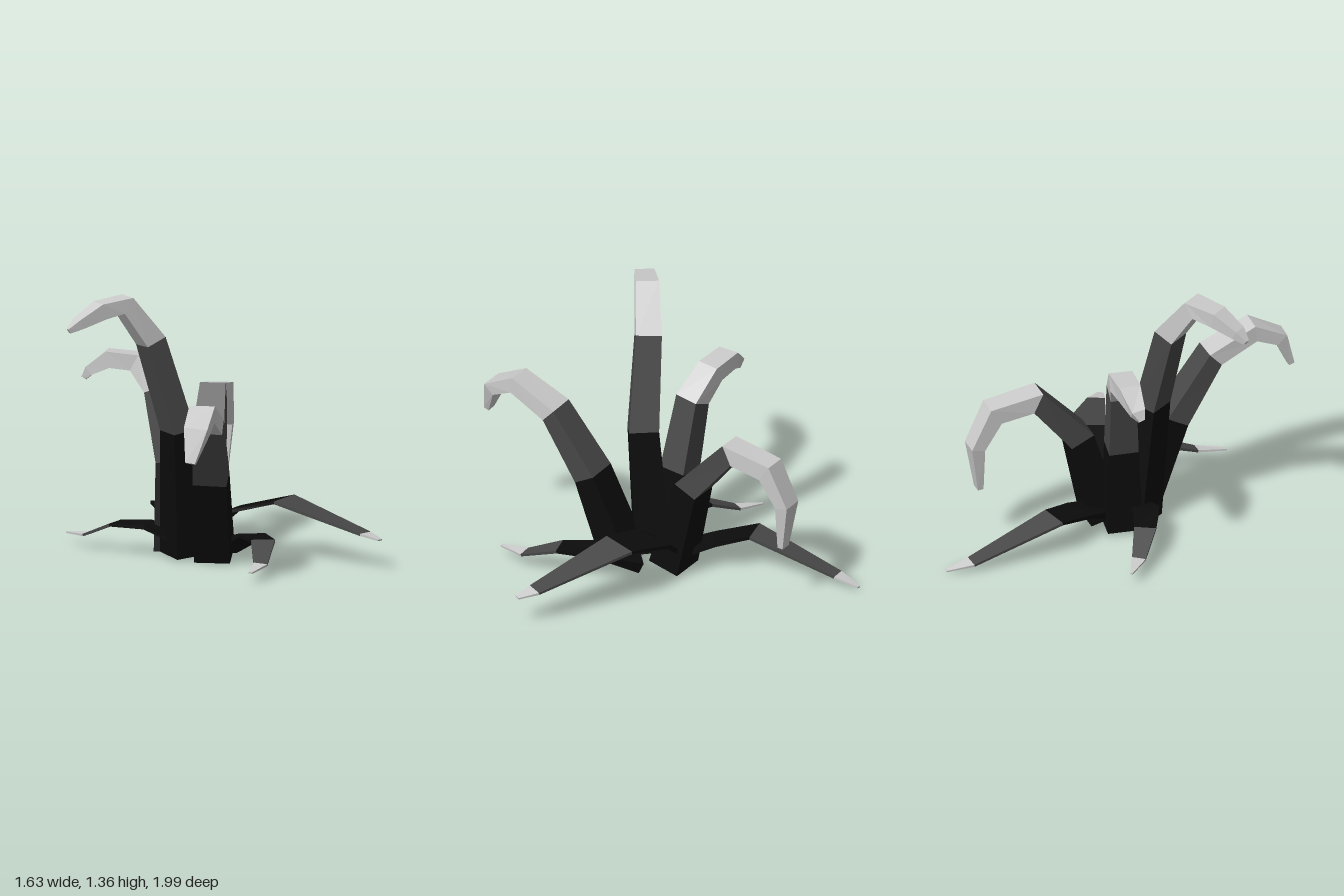
import * as THREE from 'three';

const BLACK = 0x0c0c0c, DARK = 0x484848, GREY = 0xcccccc;

// Each station: [x, y, z, width, thickness]
const tallBlades = {
  tallLeftBlade: [
    [-0.20, 0.02, 0.11, 0.18, 0.16], [-0.22, 0.66, 0.175, 0.15, 0.12], [-0.35, 1.12, 0.22, 0.13, 0.11],
    [-0.48, 1.32, 0.30, 0.12, 0.09], [-0.59, 1.30, 0.375, 0.10, 0.08], [-0.69, 1.245, 0.445, 0.07, 0.05],
    [-0.74, 1.21, 0.47, 0.025, 0.025]],
  leftBlade: [
    [-0.25, 0.02, 0.0, 0.18, 0.17], [-0.265, 0.47, -0.01, 0.15, 0.13], [-0.34, 0.83, -0.04, 0.13, 0.11],
    [-0.445, 0.955, -0.085, 0.12, 0.09], [-0.59, 0.965, -0.10, 0.11, 0.085], [-0.69, 0.90, -0.095, 0.07, 0.05],
    [-0.715, 0.865, -0.085, 0.03, 0.025]],
  frontBlade: [
    [-0.035, 0.03, 0.18, 0.18, 0.17], [-0.035, 0.45, 0.36, 0.17, 0.12], [-0.03, 0.755, 0.57, 0.15, 0.09],
    [-0.04, 0.86, 0.79, 0.13, 0.085], [-0.055, 0.795, 0.93, 0.12, 0.07], [-0.08, 0.645, 0.98, 0.05, 0.03]],
  backBlade: [
    [-0.11, 0.03, -0.06, 0.20, 0.17], [-0.10, 0.49, -0.18, 0.17, 0.13], [-0.095, 0.745, -0.41, 0.13, 0.11],
    [-0.08, 0.705, -0.63, 0.12, 0.10], [-0.08, 0.53, -0.725, 0.11, 0.07], [-0.08, 0.29, -0.705, 0.06, 0.03]],
};
const lowLeaves = {
  rightLeaf: [
    [-0.08, 0.12, -0.04, 0.20, 0.03], [0.05, 0.22, -0.035, 0.22, 0.02], [0.30, 0.285, 0.02, 0.21, 0.015],
    [0.73, 0.165, 0.265, 0.09, 0.012], [0.81, 0.145, 0.32, 0.03, 0.008]],
  frontRightLeaf: [
    [0.01, 0.05, 0.07, 0.13, 0.06], [0.16, 0.14, 0.23, 0.15, 0.02], [0.23, 0.145, 0.40, 0.12, 0.015],
    [0.235, 0.065, 0.60, 0.07, 0.012], [0.20, 0.05, 0.75, 0.02, 0.008]],
  backLeaf: [
    [-0.15, 0.06, -0.04, 0.14, 0.05], [-0.24, 0.135, -0.23, 0.16, 0.02], [-0.33, 0.18, -0.40, 0.16, 0.015],
    [-0.36, 0.04, -0.86, 0.08, 0.012], [-0.345, 0.01, -0.99, 0.02, 0.008]],
  leftLeaf: [
    [-0.15, 0.07, 0.08, 0.13, 0.05], [-0.38, 0.155, 0.075, 0.14, 0.02], [-0.55, 0.145, 0.0, 0.11, 0.015],
    [-0.70, 0.07, -0.095, 0.07, 0.012], [-0.81, 0.06, -0.18, 0.012, 0.008]],
};

// Four corners of the blade's cross-section at every station
function sections(stations) {
  const p = stations.map(s => new THREE.Vector3(s[0], s[1], s[2]));
  const last = p.length - 1;
  return p.map((c, i) => {
    const a = p[Math.max(i - 1, 0)], b = p[Math.min(i + 1, last)];
    const tangent = b.clone().sub(a).normalize();
    const overall = p[last].clone().sub(p[0]).setY(0).normalize();
    const across = new THREE.Vector3(overall.z, 0, -overall.x);
    across.addScaledVector(tangent, -across.dot(tangent)).normalize();
    const normal = tangent.clone().cross(across);
    const w = stations[i][3] / 2, t = stations[i][4] / 2;
    return [[1, 1], [-1, 1], [-1, -1], [1, -1]].map(([u, v]) => {
      const q = c.clone().addScaledVector(across, u * w).addScaledVector(normal, v * t);
      q.y = Math.max(q.y, 0);
      return q;
    });
  });
}

// One length of blade between two sections, capped where asked
function segment(a, b, capBase, capTip) {
  const pos = [];
  const quad = (...q) => [0, 1, 2, 0, 2, 3].forEach(i => pos.push(...q[i].toArray()));
  for (let i = 0; i < 4; i++) {
    const j = (i + 1) % 4;
    quad(a[i], a[j], b[j], b[i]);
  }
  if (capBase) quad(a[3], a[2], a[1], a[0]);
  if (capTip) quad(b[0], b[1], b[2], b[3]);
  const g = new THREE.BufferGeometry();
  g.setAttribute('position', new THREE.Float32BufferAttribute(pos, 3));
  g.computeVertexNormals();
  return g;
}

function buildLeaf(name, stations, colors) {
  const leaf = new THREE.Group();
  leaf.name = name;
  const rings = sections(stations);
  const n = rings.length - 1;
  for (let i = 0; i < n; i++) {
    const color = colors[Math.min(i, colors.length - 1)];
    const mesh = new THREE.Mesh(
      segment(rings[i], rings[i + 1], i === 0, i === n - 1),
      new THREE.MeshStandardMaterial({ color, flatShading: true, side: THREE.DoubleSide }));
    mesh.name = i === 0 ? 'leafBase' : i === n - 1 ? 'leafTip' : 'leafSection';
    leaf.add(mesh);
  }
  return leaf;
}

export function createModel() {
  const plant = new THREE.Group();
  plant.name = 'plant';
  // Upright arching blades, dark at the root
  for (const [name, s] of Object.entries(tallBlades)) plant.add(buildLeaf(name, s, [BLACK, DARK, GREY]));
  // Thin leaves drooping to the ground
  for (const [name, s] of Object.entries(lowLeaves)) plant.add(buildLeaf(name, s, [BLACK, BLACK, DARK, GREY]));
  return plant;
}
